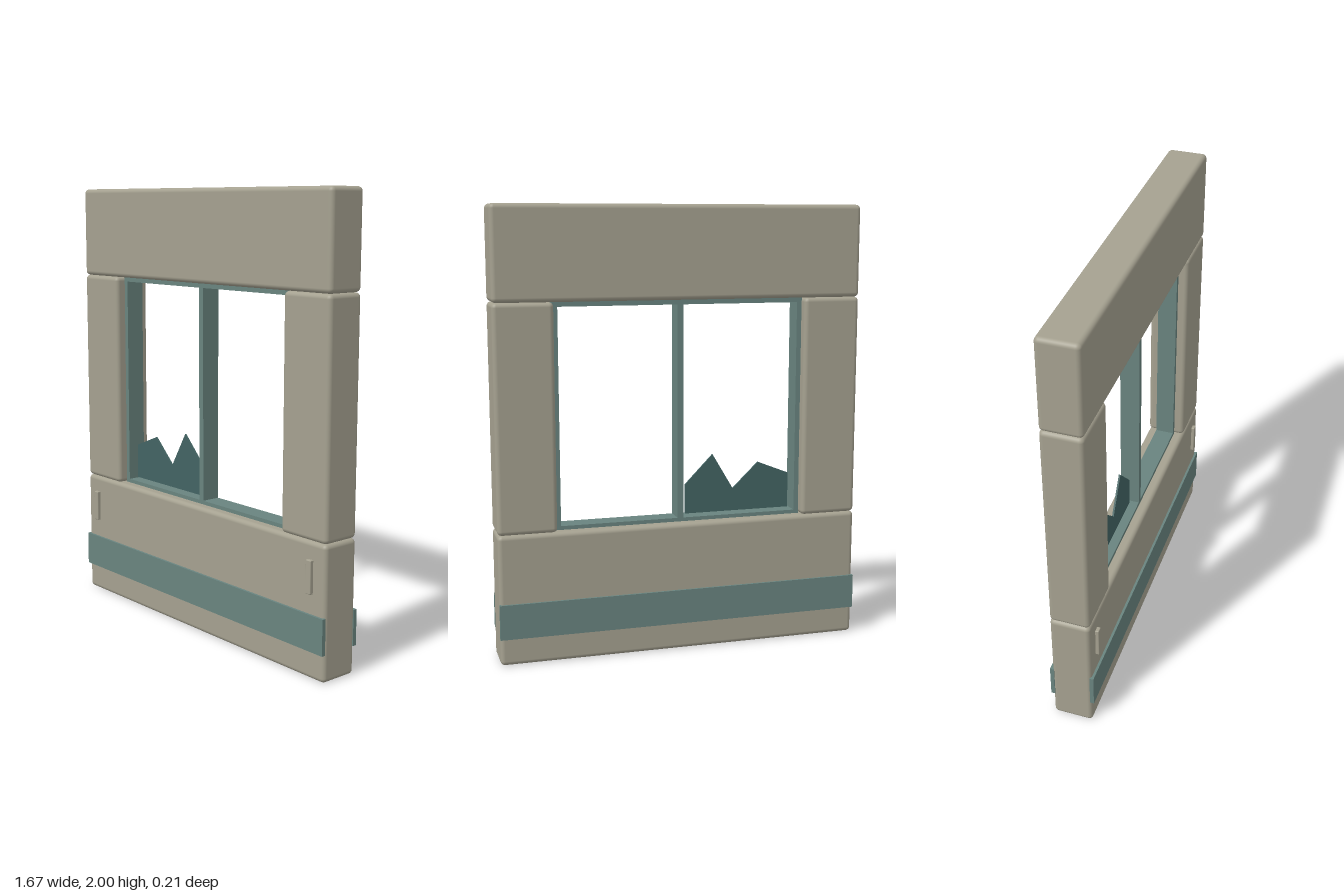
import * as THREE from 'three';
import { RoundedBoxGeometry } from 'three/addons/geometries/RoundedBoxGeometry.js';

const material = (name, color) => {
  const m = new THREE.MeshStandardMaterial({ color });
  m.name = name;
  return m;
};

export function createModel() {
  const concrete = material('warm grey concrete', 0xa5a190);
  const teal = material('faded teal paint', 0x69847f);
  const glassTeal = material('dark teal glass', 0x436463);
  const group = new THREE.Group();
  group.name = 'windowWall';

  // Box given by its extents, with optional rounded edges
  function box(name, mat, [x0, x1], [y0, y1], [z0, z1], radius = 0) {
    const size = [x1 - x0, y1 - y0, z1 - z0];
    const geo = radius
      ? new RoundedBoxGeometry(...size, 3, radius)
      : new THREE.BoxGeometry(...size);
    const mesh = new THREE.Mesh(geo, mat);
    mesh.name = name;
    mesh.position.set((x0 + x1) / 2, (y0 + y1) / 2, (z0 + z1) / 2);
    group.add(mesh);
  }

  const W = 0.833, depth = [-0.093, 0.087];
  const sill = 0.587, head = 1.589, jamb = 0.57;

  // Wall blocks
  box('baseBlock', concrete, [-W, W], [0, sill], depth, 0.02);
  box('lintelBlock', concrete, [-W, W], [head, 2], depth, 0.02);
  box('rightPier', concrete, [-W, -jamb], [sill, head], depth, 0.02);
  box('leftPier', concrete, [jamb, W], [sill, head], depth, 0.02);

  // Painted bands, front and back
  box('frontBand', teal, [-W, W], [0.123, 0.28], [0.08, 0.098]);
  box('backBand', teal, [-W, W], [0.123, 0.28], [-0.103, -0.085]);

  // Window frame and centre mullion
  const frameZ = [-0.048, 0.04];
  const bar = 0.022;
  box('frameHead', teal, [-jamb, jamb], [head - bar, head], frameZ);
  box('frameSill', teal, [-jamb, jamb], [sill - 0.005, sill + 0.017], frameZ);
  box('frameRight', teal, [-jamb - 0.002, -jamb + bar], [sill, head], frameZ);
  box('frameLeft', teal, [jamb - bar, jamb + 0.002], [sill, head], frameZ);
  box('mullion', teal, [-0.014, 0.014], [sill, head], frameZ);

  // Small brackets on the base block
  for (const [name, x] of [['rightBracket', -0.75], ['leftBracket', 0.75]]) {
    box(name, concrete, [x - 0.0145, x + 0.0145], [0.367, 0.512], [0.078, 0.103], 0.004);
  }

  // Broken pane in the right-hand light
  const outline = [
    [-0.532, 0.611], [-0.034, 0.611], [-0.034, 0.747], [-0.164, 0.88],
    [-0.262, 0.715], [-0.384, 0.832], [-0.532, 0.773],
  ];
  const shape = new THREE.Shape(outline.map(([x, y]) => new THREE.Vector2(x, y)));
  const pane = new THREE.Mesh(
    new THREE.ExtrudeGeometry(shape, { depth: 0.008, bevelEnabled: false }), glassTeal);
  pane.name = 'brokenPane';
  pane.position.z = -0.007;
  group.add(pane);

  return group;
}
